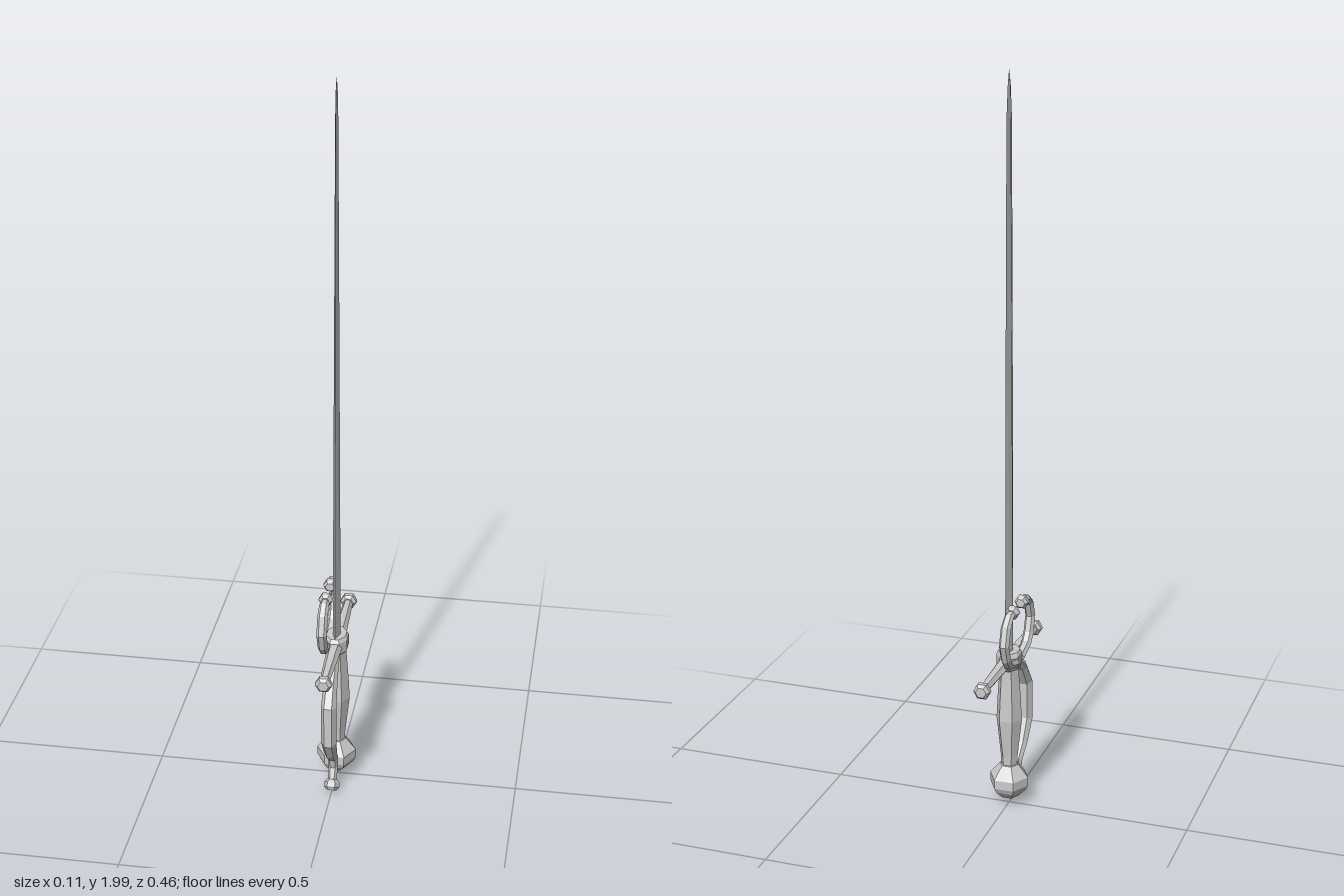
import * as THREE from 'three';

const material = new THREE.MeshStandardMaterial({ color: 0xcccccc, flatShading: true, side: THREE.DoubleSide });

// Sweeps a polygon along a path in the y-z plane with mitred joints.
// Each section is [y, z, radius along x, radius across the path].
function sweep(name, sections, { x = 0, sides = 6, phase = 0 } = {}) {
  const pos = [], index = [], n = sections.length;
  const dir = (a, b) => new THREE.Vector2(b[0] - a[0], b[1] - a[1]).normalize();
  sections.forEach((s, i) => {
    const before = i > 0 ? dir(sections[i - 1], s) : dir(s, sections[1]);
    const after = i < n - 1 ? dir(s, sections[i + 1]) : before;
    const t = before.clone().add(after).normalize();
    const across = s[3] / Math.max(0.6, t.dot(after));
    for (let j = 0; j < sides; j++) {
      const a = phase + (j / sides) * Math.PI * 2;
      const w = Math.sin(a) * across;
      pos.push(x + Math.cos(a) * s[2], s[0] + t.y * w, s[1] - t.x * w);
    }
  });
  for (let i = 0; i < n - 1; i++) {
    for (let j = 0; j < sides; j++) {
      const a = i * sides + j, b = i * sides + (j + 1) % sides;
      index.push(a, b, a + sides, b, b + sides, a + sides);
    }
  }
  const last = (n - 1) * sides;
  for (let j = 1; j < sides - 1; j++) {
    index.push(0, j + 1, j, last, last + j, last + j + 1);
  }
  const geo = new THREE.BufferGeometry();
  geo.setAttribute('position', new THREE.Float32BufferAttribute(pos, 3));
  geo.setIndex(index);
  const flat = geo.toNonIndexed();
  flat.computeVertexNormals();
  const mesh = new THREE.Mesh(flat, material);
  mesh.name = name;
  return mesh;
}

// Chamfered end knob centred at (y, z), pointing along (dy, dz)
function knob(name, y, z, dy, dz, r, half, x = 0) {
  const profile = [[-1, 0.65], [-0.45, 1], [0.45, 1], [1, 0.65]];
  return sweep(name, profile.map(([k, f]) => [y + dy * k * half, z + dz * k * half, r * f, r * f]), { x });
}

export function createModel() {
  const model = new THREE.Group();
  model.name = 'sword';

  // Blade with diamond section
  model.add(sweep('blade', [
    [0.43, 0, 0.011, 0.034], [1.3, 0, 0.007, 0.028], [1.88, 0, 0.004, 0.021],
    [1.96, 0, 0.003, 0.012], [2, 0, 0.0005, 0.001],
  ], { sides: 4 }));

  // Grip and pommel
  model.add(sweep('grip', [
    [0.1, 0, 0.021, 0.019], [0.15, 0, 0.024, 0.021], [0.26, 0, 0.036, 0.035],
    [0.32, 0, 0.033, 0.032], [0.43, 0, 0.025, 0.027],
  ]));
  model.add(sweep('pommel', [
    [0.03, 0, 0.026, 0.026], [0.05, 0, 0.046, 0.046], [0.065, 0, 0.054, 0.054],
    [0.09, 0, 0.054, 0.054], [0.125, 0, 0.026, 0.026],
  ]));

  // Guard block
  model.add(sweep('guardBlock', [
    [0.412, 0, 0.028, 0.038], [0.422, 0, 0.033, 0.045],
    [0.452, 0, 0.033, 0.045], [0.462, 0, 0.028, 0.038],
  ], { sides: 8, phase: Math.PI / 8 }));

  for (const s of [1, -1]) {
    const side = s > 0 ? 'front' : 'back';
    // Straight crossguard arm
    model.add(sweep(side + 'Quillon', [
      [0.437, 0, 0.02, 0.016], [0.437, s * 0.04, 0.02, 0.016], [0.437, s * 0.21, 0.013, 0.012],
    ]));
    model.add(knob(side + 'QuillonKnob', 0.437, s * 0.217, 0, s, 0.023, 0.0145));

    // Open ring beside the blade
    model.add(sweep(side + 'Ring', [
      [0.435, s * 0.02, 0.014, 0.012], [0.452, s * 0.075, 0.014, 0.012],
      [0.475, s * 0.095, 0.014, 0.012], [0.52, s * 0.111, 0.014, 0.012],
      [0.565, s * 0.095, 0.014, 0.012], [0.586, s * 0.07, 0.013, 0.011],
      [0.588, s * 0.042, 0.012, 0.01],
    ], { x: -0.023 }));
    model.add(knob(side + 'RingKnob', 0.588, s * 0.039, 0, -s, 0.019, 0.0145, -0.023));
  }

  // Knuckle guard curving down to the pommel
  model.add(sweep('knuckleGuard', [
    [0.43, 0.02, 0.014, 0.014], [0.4, 0.065, 0.016, 0.015], [0.372, 0.1, 0.018, 0.017],
    [0.312, 0.139, 0.021, 0.02], [0.2, 0.139, 0.021, 0.02], [0.142, 0.105, 0.018, 0.016],
    [0.105, 0.068, 0.015, 0.013], [0.07, 0.062, 0.013, 0.011], [0.035, 0.08, 0.012, 0.011],
  ]));
  model.add(knob('knuckleGuardKnob', 0.026, 0.086, -0.85, 0.53, 0.021, 0.015));

  return model;
}
